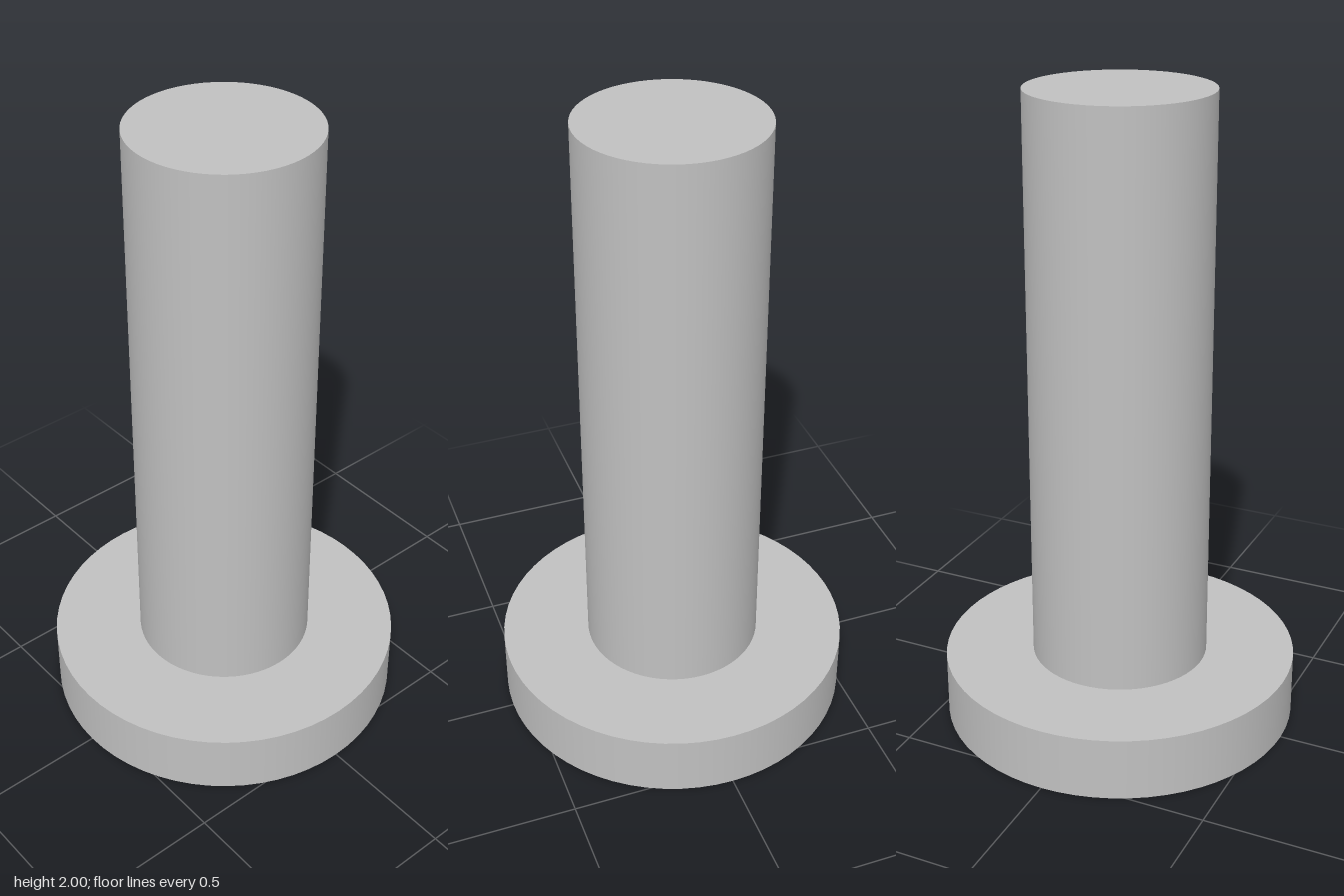
import * as THREE from 'three';

const SEGMENTS = 64;
const HEAD_R = 0.56, HEAD_H = 0.2;
const SHANK_R = 0.28, TOP = 2;
const SOCKET_R = 0.195, SOCKET_DEPTH = 0.25;

export function createModel() {
  const model = new THREE.Group();
  model.name = 'socketBolt';
  const steel = new THREE.MeshStandardMaterial({ color: 0xc0c0c0 });
  steel.name = 'steel grey';

  const add = (name, geometry, y) => {
    const mesh = new THREE.Mesh(geometry, steel);
    mesh.name = name;
    mesh.position.y = y;
    model.add(mesh);
  };

  // Open cylinder wall
  const wall = (r, h, sides = SEGMENTS) => new THREE.CylinderGeometry(r, r, h, sides, 1, true);

  // Head: rim and upper shoulder
  add('headRim', wall(HEAD_R, HEAD_H), HEAD_H / 2);
  add('headShoulder', new THREE.RingGeometry(SHANK_R, HEAD_R, SEGMENTS).rotateX(-Math.PI / 2), HEAD_H);

  // Underside of the head with a hexagonal opening
  const face = new THREE.Shape().absarc(0, 0, HEAD_R, 0, Math.PI * 2);
  const hexagon = Array.from({ length: 6 }, (_, i) => {
    const a = -i * Math.PI / 3;
    return new THREE.Vector2(Math.cos(a) * SOCKET_R, Math.sin(a) * SOCKET_R);
  });
  face.holes.push(new THREE.Path(hexagon));
  add('headUnderside', new THREE.ShapeGeometry(face, SEGMENTS).rotateX(Math.PI / 2), 0);

  // Hex socket: walls turned inward with flat normals, closed at the inner end
  const socket = wall(SOCKET_R, SOCKET_DEPTH, 6).rotateY(Math.PI / 6).scale(-1, 1, 1).toNonIndexed();
  socket.computeVertexNormals();
  add('socketWalls', socket, SOCKET_DEPTH / 2);
  add('socketEnd', new THREE.CircleGeometry(SOCKET_R, 6).rotateX(Math.PI / 2), SOCKET_DEPTH);

  // Plain shank and its flat end
  add('shank', wall(SHANK_R, TOP - HEAD_H), (TOP + HEAD_H) / 2);
  add('shankEnd', new THREE.CircleGeometry(SHANK_R, SEGMENTS).rotateX(-Math.PI / 2), TOP);

  return model;
}
